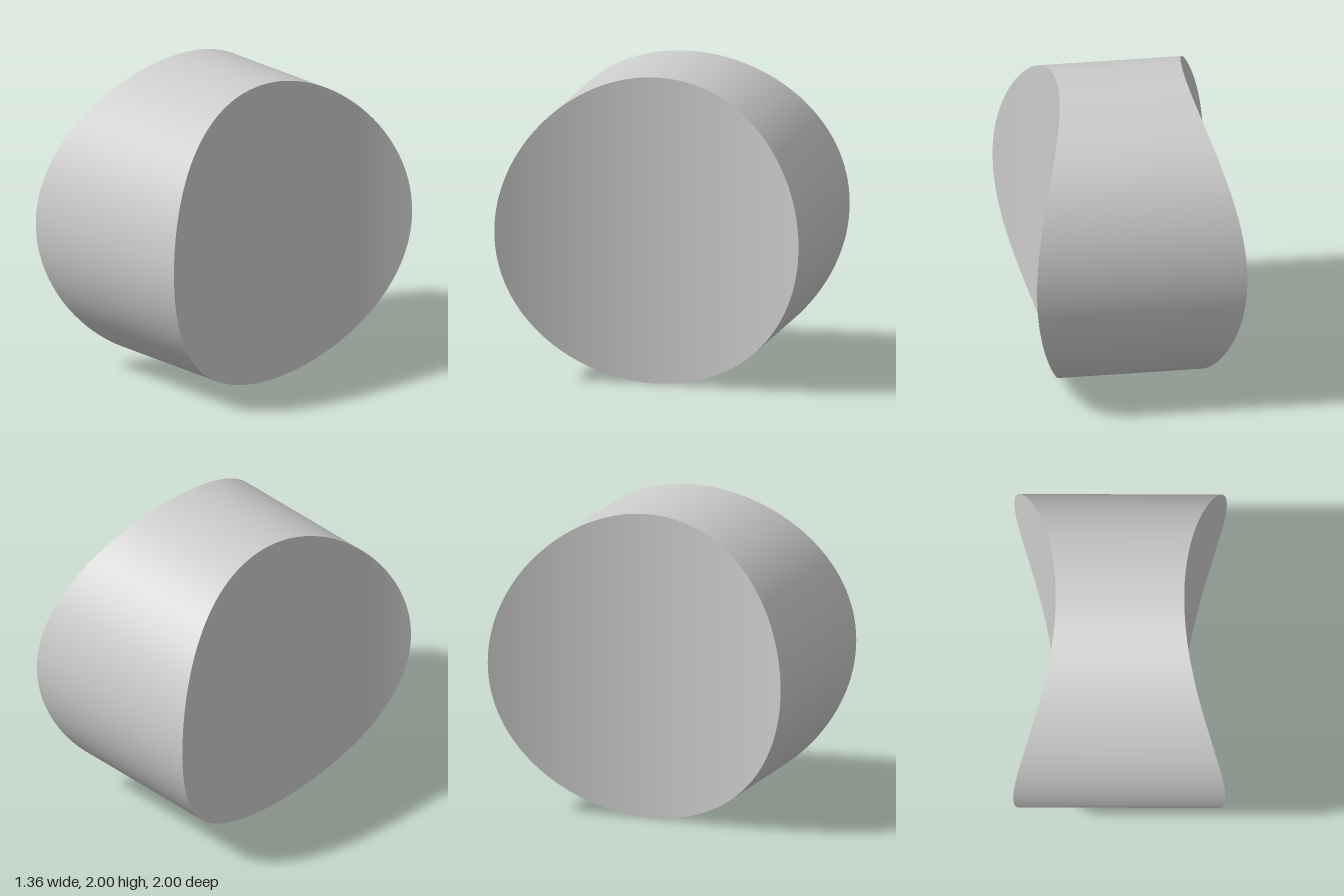
import * as THREE from 'three';

const SEGMENTS = 128;    // around the drum
const HALF_WIDTH = 0.41; // at the middle of the scooped ends
const SCOOP_RADIUS = 2;  // vertical cylinder that hollows each end

// Half width of the drum at depth z
const scoop = (z) => Math.sqrt(SCOOP_RADIUS ** 2 - z * z);
const halfWidth = (z) => HALF_WIDTH + SCOOP_RADIUS - scoop(z);

// Round wall: unit cylinder along x, its rims moved onto the scoops
function wallGeometry() {
  const geo = new THREE.CylinderGeometry(1, 1, 2, SEGMENTS, 1, true).rotateZ(Math.PI / 2);
  const p = geo.attributes.position;
  for (let i = 0; i < p.count; i++) p.setX(i, Math.sign(p.getX(i)) * halfWidth(p.getZ(i)));
  return geo;
}

// Concave end facing +x: vertical strips across the disc
function endGeometry() {
  const geo = new THREE.PlaneGeometry(1, 2, SEGMENTS / 2, 1);
  const p = geo.attributes.position;
  for (let i = 0; i < p.count; i++) {
    const angle = (p.getX(i) + 0.5) * Math.PI;
    const z = Math.cos(angle);
    p.setXYZ(i, halfWidth(z), p.getY(i) * Math.sin(angle), z);
    geo.attributes.normal.setXYZ(i, scoop(z) / SCOOP_RADIUS, 0, -z / SCOOP_RADIUS);
  }
  return geo;
}

export function createModel() {
  const model = new THREE.Group();
  model.name = 'scoopedDrum';
  const material = new THREE.MeshStandardMaterial({ color: 0xcccccc });

  const add = (name, geometry, turn = 0) => {
    const mesh = new THREE.Mesh(geometry, material);
    mesh.name = name;
    mesh.position.y = 1;
    mesh.rotation.y = turn;
    model.add(mesh);
  };

  add('roundWall', wallGeometry());
  const end = endGeometry();
  add('leftEnd', end);
  add('rightEnd', end, Math.PI);

  return model;
}
